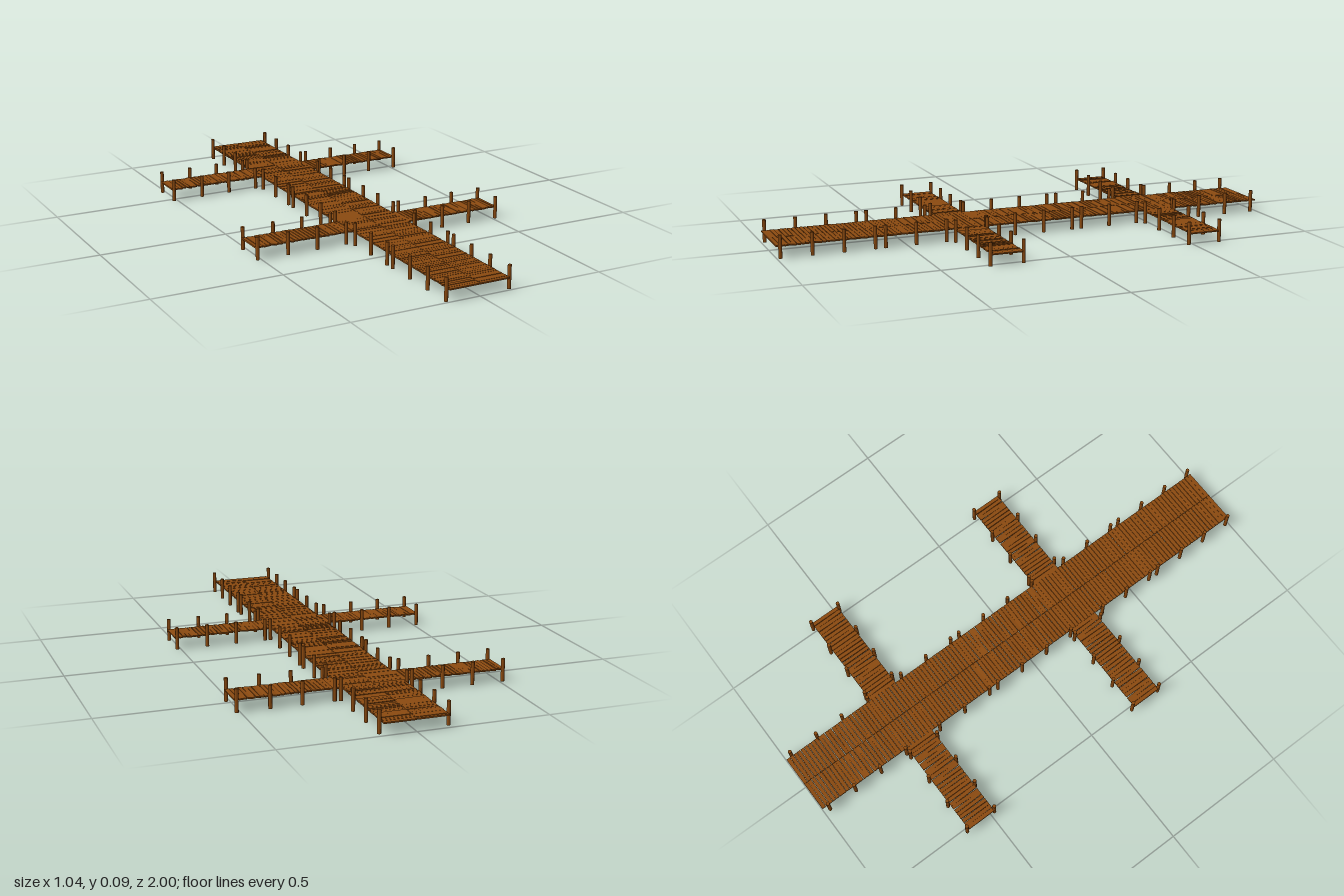
import * as THREE from 'three';

const wood = new THREE.MeshStandardMaterial({ color: 0x8b4a10 });
const DECK_Y = 0.045, POST_H = 0.088, SEGMENT = 0.4, PLANKS = 25;

// Small seeded generator, centred on zero
let seed = 7;
const jitter = (amount) => {
  seed = (seed * 16807) % 2147483647;
  return (seed / 2147483647 - 0.5) * 2 * amount;
};

const postGeometry = new THREE.CylinderGeometry(0.0072, 0.0072, POST_H, 10);

function addPost(group, x, z) {
  const post = new THREE.Mesh(postGeometry, wood);
  post.name = 'post';
  post.position.set(x, POST_H / 2, z);
  group.add(post);
}

// A run of planks laid along z; rows lists [centre x, length] for each plank of a row
function plankRun(name, rows, roughness) {
  const run = new THREE.Group();
  run.name = name;
  const pitch = SEGMENT / PLANKS;
  for (let i = 0; i < PLANKS; i++) {
    for (const [x, length] of rows) {
      const edge = i === 0 || i === PLANKS - 1;
      const width = pitch - 0.0008 - (edge ? 0 : Math.abs(jitter(0.0012)));
      const plank = new THREE.Mesh(new THREE.BoxGeometry(length, 0.0055, width), wood);
      plank.name = 'plank';
      plank.position.set(x, DECK_Y + jitter(0.0008), (i + 0.5) * pitch - SEGMENT / 2);
      plank.rotation.x = jitter(0.12) * roughness;
      plank.rotation.y = edge ? 0 : jitter(0.02) * roughness;
      run.add(plank);
    }
  }
  return run;
}

export function createModel() {
  const pier = new THREE.Group();
  pier.name = 'pier';

  // Main walkway: five segments, each row split into two half-width planks
  const walkway = new THREE.Group();
  walkway.name = 'walkway';
  pier.add(walkway);
  for (let s = -2; s <= 2; s++) {
    const z = s * SEGMENT;
    const rough = s === 0 || s === -2 ? 1 : 0.25;
    const deck = plankRun('walkwayDeck', [[-0.0605, 0.12], [0.0605, 0.12]], rough);
    deck.position.z = z;
    walkway.add(deck);
    // The last post is left out where a side jetty joins
    const joins = Math.abs(s) === 1;
    for (const offset of joins ? [0.186, 0.066, -0.054] : [0.186, 0.066, -0.054, -0.174]) {
      for (const side of [-1, 1]) addPost(walkway, side * 0.127, z + offset);
    }
  }

  // Side jetties: planks run across z, posts along both edges
  for (const z of [-0.546, 0.253]) {
    for (const side of [-1, 1]) {
      const jetty = new THREE.Group();
      jetty.name = side > 0 ? 'leftJetty' : 'rightJetty';
      jetty.position.z = z;
      const deck = plankRun('jettyDeck', [[0, 0.12]], 1.4);
      deck.rotation.y = Math.PI / 2;
      deck.position.x = side * 0.32;
      jetty.add(deck);
      for (const x of [0.149, 0.27, 0.39, 0.513]) {
        for (const edge of [-1, 1]) addPost(jetty, side * x, edge * 0.064);
      }
      pier.add(jetty);
    }
  }
  return pier;
}
